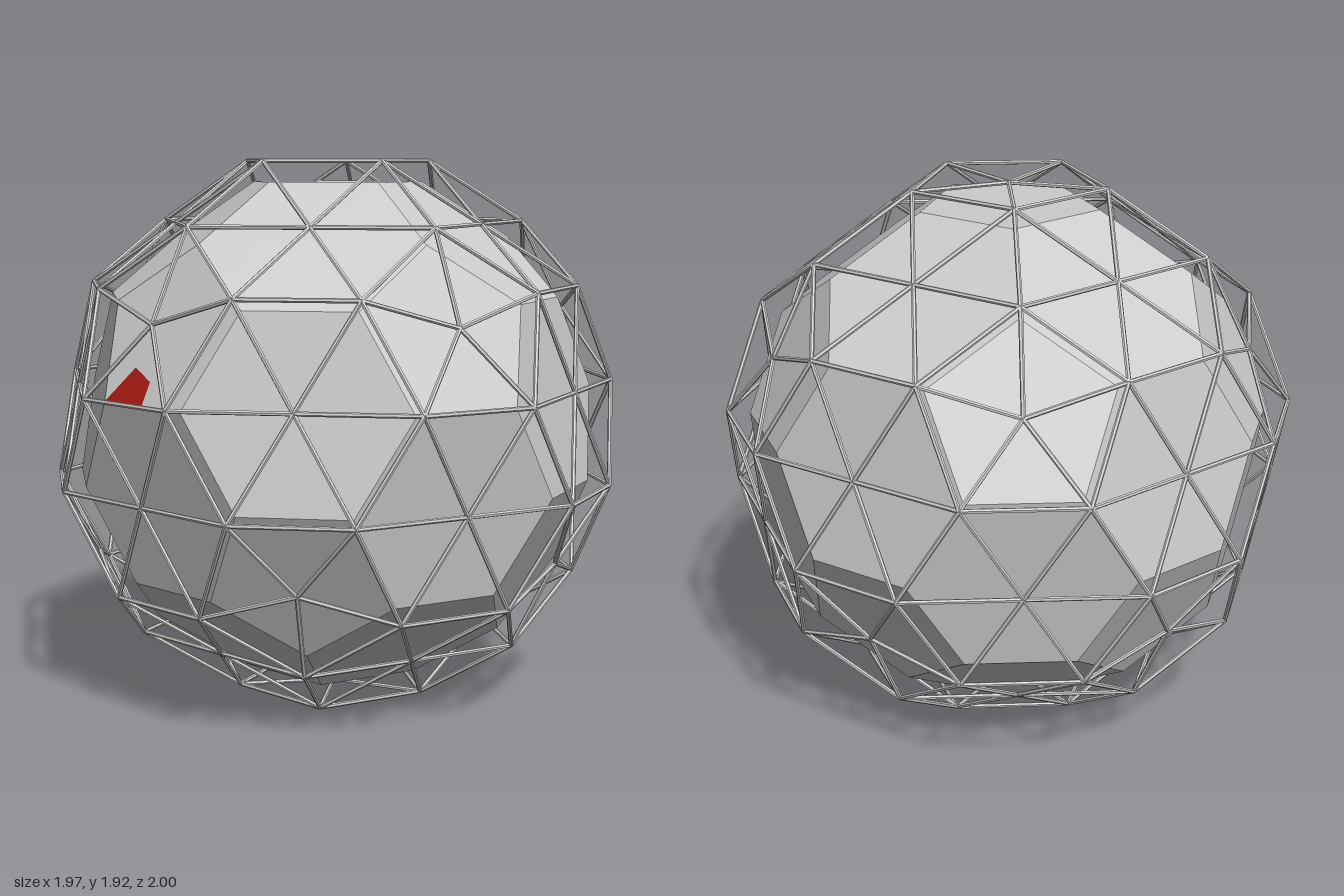
import * as THREE from 'three';
import { mergeGeometries } from 'three/addons/utils/BufferGeometryUtils.js';

const R = 1.166;         // radius of the icosahedron that gets truncated
const STRUT = 0.008;     // strut radius
const CORE = 0.923;      // core size relative to the frame
const V = (x, y, z) => new THREE.Vector3(x, y, z);
const mean = (...p) => p.reduce((s, q) => s.add(q), V(0, 0, 0)).divideScalar(p.length);

// Icosahedron standing on a point
function icosahedronPoints() {
  const pts = [V(0, R, 0), V(0, -R, 0)];
  const h = R / Math.sqrt(5);
  for (let k = 0; k < 10; k++) {
    const a = (k * Math.PI) / 5;
    const up = k % 2 === 0 ? 1 : -1;
    pts.push(V(2 * h * Math.cos(a), up * h, 2 * h * Math.sin(a)));
  }
  return pts;
}

// Corners sorted counter-clockwise as seen from outside
function makePanel(corners) {
  const centre = mean(...corners);
  const n = centre.clone().normalize();
  const u = corners[0].clone().sub(centre).normalize();
  const w = n.clone().cross(u);
  const angle = (p) => {
    const d = p.clone().sub(centre);
    return Math.atan2(d.dot(w), d.dot(u));
  };
  return { centre, ring: [...corners].sort((a, b) => angle(a) - angle(b)) };
}

// 12 pentagons and 20 hexagons of the truncated icosahedron
function makePanels() {
  const P = icosahedronPoints();
  const near = (i, j) => i !== j && P[i].distanceTo(P[j]) < R * 1.2;
  const cut = (i, j) => P[i].clone().lerp(P[j], 1 / 3);
  const panels = [];
  for (let i = 0; i < 12; i++) {
    panels.push(makePanel(P.map((_, j) => j).filter((j) => near(i, j)).map((j) => cut(i, j))));
    for (let j = i + 1; j < 12; j++) {
      for (let k = j + 1; k < 12; k++) {
        if (!near(i, j) || !near(j, k) || !near(i, k)) continue;
        panels.push(makePanel([cut(i, j), cut(j, i), cut(j, k), cut(k, j), cut(k, i), cut(i, k)]));
      }
    }
  }
  return panels;
}

function strut(a, b) {
  const d = b.clone().sub(a);
  const g = new THREE.CylinderGeometry(STRUT, STRUT, d.length(), 6);
  g.applyQuaternion(new THREE.Quaternion().setFromUnitVectors(V(0, 1, 0), d.normalize()));
  const m = mean(a, b);
  return g.translate(m.x, m.y, m.z);
}

function quadMesh(quads, color, name) {
  const pts = quads.flatMap(([a, b, c, d]) => [a, b, c, a, c, d]);
  const g = new THREE.BufferGeometry().setFromPoints(pts);
  g.computeVertexNormals();
  const mesh = new THREE.Mesh(g, new THREE.MeshStandardMaterial({ color, flatShading: true }));
  mesh.name = name;
  return mesh;
}

export function createModel() {
  const group = new THREE.Group();
  group.name = 'latticeBall';
  const panels = makePanels();

  // Lattice: rim of every panel plus spokes to its centre
  const struts = [];
  const done = new Set();
  const key = (p) => p.toArray().map((t) => Math.round(t * 1000)).join();
  for (const { centre, ring } of panels) {
    ring.forEach((a, i) => {
      const b = ring[(i + 1) % ring.length];
      const id = key(mean(a, b));
      if (!done.has(id)) struts.push(strut(a, b));
      done.add(id);
      struts.push(strut(centre, a));
    });
  }
  const lattice = new THREE.Mesh(
    mergeGeometries(struts),
    new THREE.MeshStandardMaterial({ color: 0xcccccc, flatShading: true })
  );
  lattice.name = 'lattice';

  // Core: each panel is a fan of triangles, each triangle split into three tiles
  const tiles = [];
  const redTiles = [];
  const redSpot = V(-0.75, 0.21, 0.458);
  for (const { centre, ring } of panels) {
    ring.forEach((p, i) => {
      const tri = [centre, p, ring[(i + 1) % ring.length]].map((q) => q.clone().multiplyScalar(CORE));
      const mid = mean(...tri);
      for (let k = 0; k < 3; k++) {
        const [a, b, c] = [tri[k], tri[(k + 1) % 3], tri[(k + 2) % 3]];
        const tile = [a, mean(a, b), mid, mean(a, c)];
        (mean(...tile).distanceTo(redSpot) < 0.04 ? redTiles : tiles).push(tile);
      }
    });
  }

  group.add(lattice, quadMesh(tiles, 0xcccccc, 'core'), quadMesh(redTiles, 0xa81a14, 'redTile'));
  // Lift so the lowest struts rest on the ground
  const lift = 0.8157 * R + STRUT;
  group.children.forEach((m) => { m.position.y = lift; });
  return group;
}
